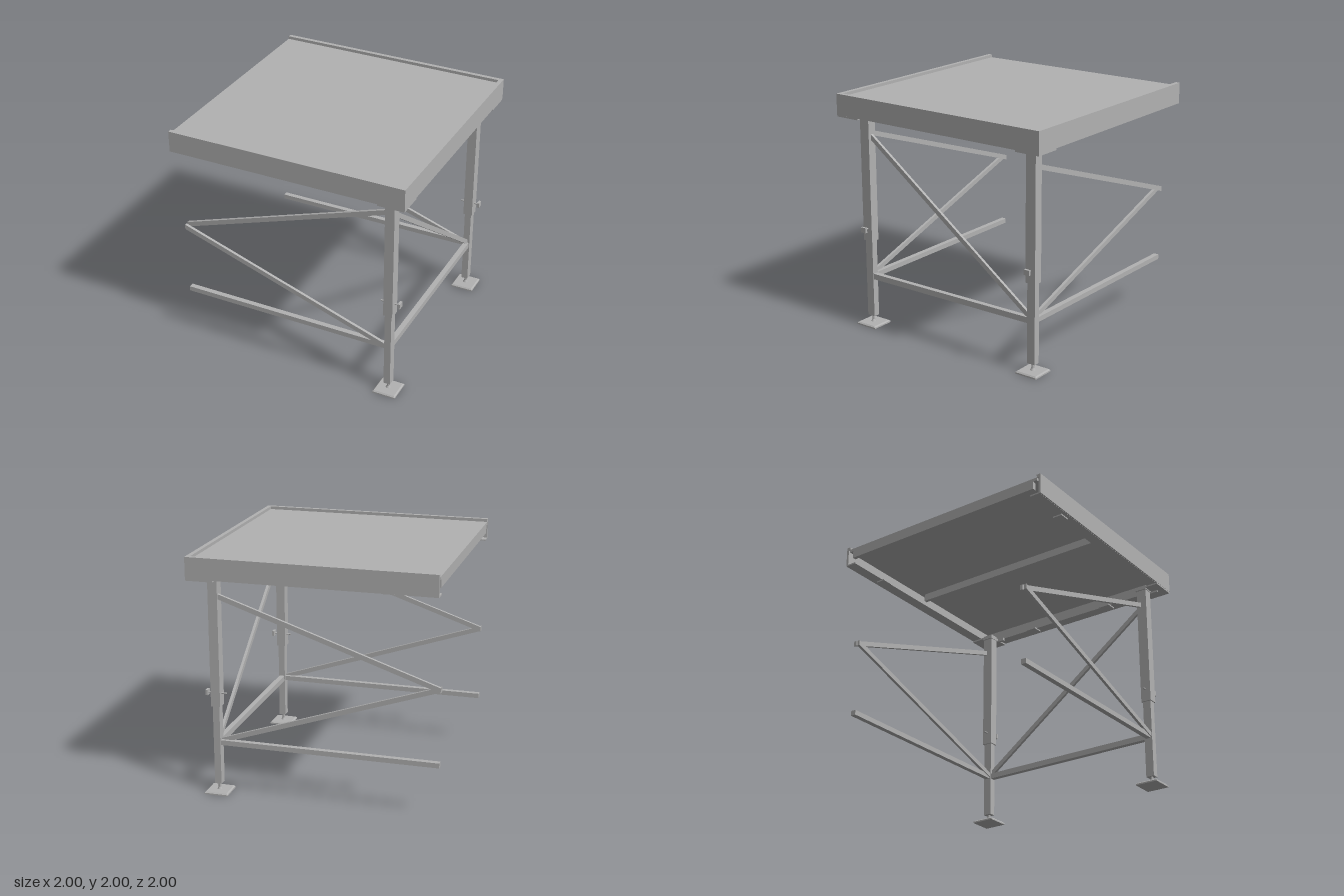
import * as THREE from 'three';

export function createModel() {
  const model = new THREE.Group();
  const steel = new THREE.MeshStandardMaterial({ color: 0xb2b2b2 });
  steel.name = 'grey steel';

  const add = (name, geometry, parent = model) => {
    const mesh = new THREE.Mesh(geometry, steel);
    mesh.name = name;
    parent.add(mesh);
    return mesh;
  };
  // Box given by its limits on each axis
  const box = (name, [x0, x1], [y0, y1], [z0, z1], parent = model) => {
    const mesh = add(name, new THREE.BoxGeometry(x1 - x0, y1 - y0, z1 - z0), parent);
    mesh.position.set((x0 + x1) / 2, (y0 + y1) / 2, (z0 + z1) / 2);
    return mesh;
  };
  // Sloping bar with upright end cuts, outlined in its own plane
  const slopedBar = (name, [u0, v0], [u1, v1], height, thickness) => {
    const h = height / 2;
    const shape = new THREE.Shape([
      new THREE.Vector2(u0, v0 - h), new THREE.Vector2(u1, v1 - h),
      new THREE.Vector2(u1, v1 + h), new THREE.Vector2(u0, v0 + h),
    ]);
    const geometry = new THREE.ExtrudeGeometry(shape, { depth: thickness, bevelEnabled: false });
    geometry.translate(0, 0, -thickness / 2);
    return add(name, geometry);
  };

  // Deck and the joists below it
  box('deck', [-1, 0.966], [1.95, 1.975], [-0.966, 0.966]);
  for (const x of [-0.985, -0.02]) {
    box('joist', [x - 0.015, x + 0.015], [1.885, 1.951], [-0.93, 0.93]);
  }

  // Edge channels: two sides and one end, with lips turned inward
  for (const s of [-1, 1]) {
    const span = (a, b) => (s > 0 ? [a, b] : [-b, -a]);
    box('sideWeb', [-1, 1], [1.825, 2], span(0.98, 1));
    box('sideTopLip', [-1, 1], [1.975, 2], span(0.965, 0.99));
    box('sideBottomFlange', [-1, 1], [1.823, 1.835], span(0.9, 0.99));
    box('sidePlate', [-0.65, -0.555], [1.811, 1.824], span(0.88, 0.96));
    box('endPlate', [0.87, 0.96], [1.811, 1.824], span(0.35, 0.45));
  }
  box('endWeb', [0.98, 1], [1.825, 2], [-0.98, 0.98]);
  box('endTopLip', [0.965, 0.99], [1.975, 2], [-0.965, 0.965]);
  box('endBottomFlange', [0.9, 0.99], [1.823, 1.835], [-0.9, 0.9]);

  // Two telescopic legs
  for (const s of [-1, 1]) {
    const leg = new THREE.Group();
    leg.name = s > 0 ? 'frontLeg' : 'backLeg';
    leg.position.set(0.828, 0, s * 0.832);
    model.add(leg);
    box('outerTube', [-0.039, 0.039], [0.75, 1.84], [-0.045, 0.045], leg);
    box('innerTube', [-0.028, 0.028], [0.08, 0.76], [-0.036, 0.036], leg);
    box('cornerPlate', [-0.05, 0.17], [1.811, 1.826], s > 0 ? [-0.05, 0.166] : [-0.166, 0.05], leg);
    box('lockTab', [0.052, 0.072], [1.797, 1.825], s > 0 ? [-0.05, 0.108] : [-0.018, 0.112], leg);
    box('headPlate', [-0.05, 0.05], [1.8, 1.815], [-0.05, 0.05], leg);

    // Clamp bolt
    const bolt = add('boltShaft', new THREE.CylinderGeometry(0.007, 0.007, 0.16, 10), leg);
    bolt.rotation.z = Math.PI / 2;
    bolt.position.set(0, 0.855, 0);
    box('boltHead', [0.072, 0.092], [0.833, 0.877], [-0.025, 0.025], leg);

    // Screw foot with a bevelled square base
    add('footScrew', new THREE.CylinderGeometry(0.012, 0.012, 0.1, 12), leg).position.y = 0.06;
    add('footCollar', new THREE.CylinderGeometry(0.012, 0.022, 0.02, 12), leg).position.y = 0.03;
    box('footPlate', [-0.098, 0.098], [0, 0.012], [-0.098, 0.098], leg);
    const bevel = new THREE.CylinderGeometry(0.088 * Math.SQRT2, 0.098 * Math.SQRT2, 0.01, 4).toNonIndexed();
    bevel.rotateY(Math.PI / 4);
    bevel.computeVertexNormals();
    add('footBevel', bevel, leg).position.y = 0.017;
  }

  // Bracing along both sides: a rail and two converging diagonals
  for (const s of [-1, 1]) {
    const z = s * 0.832;
    box('sideRail', [-1, 0.81], [0.415, 0.456], [z - 0.022, z + 0.022]);
    slopedBar('upperDiagonal', [-1, 1.055], [0.8, 1.665], 0.042, 0.024).position.z = z - 0.018;
    slopedBar('lowerDiagonal', [-1, 1.052], [0.81, 0.442], 0.042, 0.024).position.z = z + 0.018;
  }

  // Bracing between the legs
  box('crossRail', [0.806, 0.85], [0.412, 0.46], [-0.81, 0.81]);
  const cross = slopedBar('crossDiagonal', [-0.8, 1.648], [0.8, 0.465], 0.048, 0.024);
  cross.rotation.y = Math.PI / 2;
  cross.position.x = 0.828;

  return model;
}
